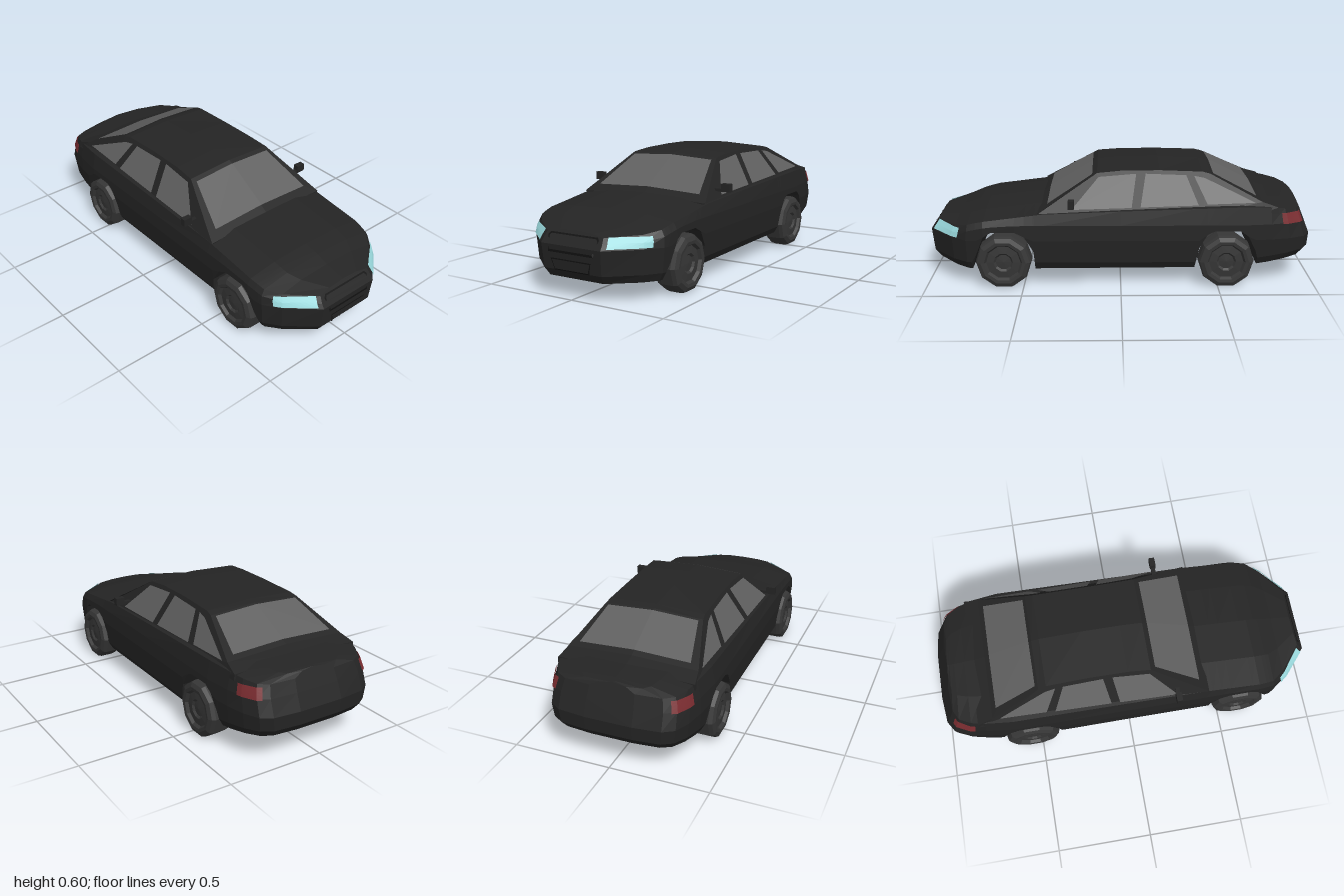
import * as THREE from 'three';

const mat = (color, side = THREE.FrontSide) => new THREE.MeshStandardMaterial({ color, flatShading: true, side });
const paint = mat(0x242424), trim = mat(0x121212, THREE.DoubleSide), tyreMat = mat(0x363636);
const glass = mat(0x606060, THREE.DoubleSide);
const headlamp = mat(0x9cdce0, THREE.DoubleSide), taillamp = mat(0x7a2c30, THREE.DoubleSide);

// Piecewise-linear lookup of column c in a table sorted on column 0 (either direction)
function lookup(table, t, c = 1) {
  const rows = table[0][0] < table.at(-1)[0] ? table : [...table].reverse();
  if (t <= rows[0][0]) return rows[0][c];
  for (let i = 1; i < rows.length; i++) {
    const [a, b] = [rows[i - 1], rows[i]];
    if (t <= b[0]) return a[c] + (b[c] - a[c]) * (t - a[0]) / (b[0] - a[0]);
  }
  return rows.at(-1)[c];
}

// Lower body: z, half width, shoulder height, centre height
const BODY = [
  [1, 0.17, 0.302, 0.316], [0.87, 0.315, 0.312, 0.338], [0.79, 0.372, 0.328, 0.358], [0.7, 0.385, 0.348, 0.378],
  [0.4, 0.385, 0.385, 0.412], [0, 0.385, 0.4, 0.42], [-0.62, 0.387, 0.42, 0.44], [-0.77, 0.37, 0.415, 0.438],
  [-0.87, 0.35, 0.405, 0.432], [-0.95, 0.315, 0.395, 0.426], [-0.985, 0.26, 0.39, 0.422], [-1, 0.12, 0.39, 0.42],
];
// Underside height with wheel arches: z, y
const UNDER = [
  [1, 0.09], [0.765, 0.09], [0.74, 0.17], [0.7, 0.27], [0.66, 0.295], [0.54, 0.295], [0.49, 0.27], [0.445, 0.19],
  [0.44, 0.09], [-0.38, 0.095], [-0.4, 0.21], [-0.44, 0.28], [-0.48, 0.3], [-0.61, 0.3], [-0.65, 0.27],
  [-0.69, 0.19], [-0.7, 0.11], [-0.95, 0.138], [-1, 0.14],
];
// Set-back of nose and tail by height
const NOSE = [[0.09, 0.04], [0.14, 0.005], [0.25, 0], [0.32, 0.05]];
const TAIL = [[0.12, 0.06], [0.17, 0.01], [0.24, 0], [0.36, 0.05], [0.43, 0.08]];
function warp(z, y) {
  const t = Math.max(0, (Math.abs(z) - 0.75) / 0.25);
  return z - Math.sign(z) * t * lookup(z > 0 ? NOSE : TAIL, y);
}

// Side profile at z as rows of y, x
function sideRows(z) {
  const w = lookup(BODY, z), edge = lookup(BODY, z, 2), sill = z > -0.7 ? 0.09 : lookup(UNDER, z);
  return [[sill, w * 0.91], [sill + 0.04, w * 0.97], [0.25, w], [Math.min(0.33, edge - 0.03), w * 0.99], [edge, w * 0.945]];
}
function bodySection(z) {
  const rows = sideRows(z), low = lookup(UNDER, z), edge = lookup(BODY, z, 2), top = lookup(BODY, z, 3);
  const pts = rows.map(([y]) => { const h = Math.max(y, low); return [lookup(rows, h), h]; });
  pts.push([lookup(BODY, z) * 0.55, top - (top - edge) * 0.25], [0, top]);
  return pts.map(([x, y]) => [x, y, warp(z, y)]);
}

// Cabin: z, roof edge height, roof centre height
const CABIN = [
  [0.42, 0.39, 0.405], [0.12, 0.573, 0.586], [0, 0.583, 0.597], [-0.2, 0.585, 0.6], [-0.42, 0.578, 0.59],
  [-0.46, 0.568, 0.582], [-0.72, 0.44, 0.454], [-0.8, 0.415, 0.43],
];
const cabinX = (y) => 0.348 - 0.6 * (y - 0.42);
function cabinTop(z, x) {
  const edge = lookup(CABIN, z), top = lookup(CABIN, z, 2);
  return top + (edge - top) * Math.abs(x) / cabinX(edge);
}

// Closed mirrored skin through half sections ordered front to back
function loft(sections) {
  const rings = sections.map((s) => [...s, ...s.map(([x, y, z]) => [-x, y, z]).reverse()]);
  const pos = [], quad = (a, b, c, d) => pos.push(...a, ...b, ...c, ...a, ...c, ...d);
  const n = rings[0].length;
  for (let i = 0; i < rings.length - 1; i++)
    for (let j = 0; j < n; j++) {
      const k = (j + 1) % n;
      quad(rings[i][j], rings[i + 1][j], rings[i + 1][k], rings[i][k]);
    }
  const [f, b] = [rings[0], rings.at(-1)];
  for (let j = 0; j < n / 2 - 1; j++) {
    quad(f[j], f[j + 1], f[n - 2 - j], f[n - 1 - j]);
    quad(b[n - 1 - j], b[n - 2 - j], b[j + 1], b[j]);
  }
  const g = new THREE.BufferGeometry();
  g.setAttribute('position', new THREE.Float32BufferAttribute(pos, 3));
  g.computeVertexNormals();
  return g;
}

// Bend a flat geometry with a rule (x, y) -> [x, y, z]
function bend(g, rule) {
  const p = g.attributes.position;
  for (let i = 0; i < p.count; i++) p.setXYZ(i, ...rule(p.getX(i), p.getY(i)));
  g.computeVertexNormals();
  return g;
}
const grid = (nu, nv, rule) => bend(new THREE.PlaneGeometry(1, 1, nu, nv), (x, y) => rule(x + 0.5, y + 0.5));
const polygon = (pts) => new THREE.Shape(pts.map(([x, y]) => new THREE.Vector2(x, y)));

export function createModel() {
  const car = new THREE.Group();
  car.name = 'car';
  const add = (name, geometry, material, parent = car) => {
    const m = new THREE.Mesh(geometry, material);
    m.name = name;
    parent.add(m);
    return m;
  };
  const lerp = THREE.MathUtils.lerp;

  // Body and cabin shells
  const zs = [...new Set([...BODY, ...UNDER].map((r) => r[0]))].sort((a, b) => b - a);
  add('body', loft(zs.map(bodySection)), paint);
  add('cabin', loft(CABIN.map(([z, edge, top]) => [[0.355, 0.385, z], [cabinX(edge), edge, z], [0, top, z]])), paint);

  // Windscreen and rear window
  const screen = (z0, x0, z1, x1) => grid(2, 1, (u, v) => {
    const z = lerp(z0, z1, v), x = (u * 2 - 1) * lerp(x0, x1, v);
    return [x, cabinTop(z, x) + 0.005, z];
  });
  add('windscreen', screen(0.375, 0.305, 0.145, 0.24), glass);
  add('rearWindow', screen(-0.695, 0.288, -0.475, 0.24), glass);

  // Grille and lower intake outlines on the nose
  const outline = (name, pts, border) => {
    const cy = pts.reduce((s, p) => s + p[1], 0) / pts.length;
    const h = Math.max(...pts.map((p) => p[1])) - cy, w = Math.max(...pts.map((p) => p[0]));
    const s = polygon(pts);
    s.holes.push(polygon(pts.map(([x, y]) => [x * (1 - border / w), cy + (y - cy) * (1 - border / h)])));
    add(name, bend(new THREE.ShapeGeometry(s), (x, y) => [x, y, warp(1, y) + 0.004]), trim);
  };
  outline('grilleFrame', [[-0.13, 0.215], [0.13, 0.215], [0.145, 0.29], [0.135, 0.302], [-0.135, 0.302], [-0.145, 0.29]], 0.007);
  outline('lowerIntakeFrame', [[-0.1, 0.13], [0.1, 0.13], [0.115, 0.187], [-0.115, 0.187]], 0.006);

  // Lamps follow the body side between two z positions
  const lamp = (side, z0, z1, y0, y1) => grid(8, 4, (u, v) => {
    const z = lerp(z0, z1, u), y = lerp(y0, y1, v);
    return [side * (lookup(sideRows(z), y) + 0.005), y, warp(z, y) + Math.sign(z) * 0.005];
  });

  // Side window outlines: z, y
  const windows = {
    frontWindow: [[0.25, 0.408], [0.112, 0.556], [-0.08, 0.57], [-0.055, 0.416]],
    rearDoorWindow: [[-0.1, 0.418], [-0.128, 0.57], [-0.335, 0.563], [-0.395, 0.426]],
    quarterWindow: [[-0.44, 0.43], [-0.375, 0.56], [-0.43, 0.55], [-0.6, 0.475], [-0.685, 0.437]],
  };

  // Tyre with a dished wheel face and hub: radius, offset along the axle
  const wheelProfile = [
    [0, -0.055], [0.115, -0.065], [0.138, -0.052], [0.143, -0.03], [0.143, 0.035], [0.136, 0.055], [0.115, 0.065],
    [0.098, 0.063], [0.088, 0.048], [0.05, 0.052], [0.04, 0.042], [0, 0.046],
  ].map(([r, y]) => new THREE.Vector2(r, y));

  for (const [label, s] of [['left', 1], ['right', -1]]) {
    add(`${label}Headlight`, lamp(s, 0.985, 0.835, 0.257, 0.306), headlamp);
    add(`${label}Taillight`, lamp(s, -0.965, -0.835, 0.328, 0.383), taillamp);
    for (const [name, pts] of Object.entries(windows))
      add(`${label} ${name}`, bend(new THREE.ShapeGeometry(polygon(pts)), (z, y) => [s * (cabinX(y) + 0.004), y, z]), glass);

    // Door mirror on a short arm
    const mirror = new THREE.Group();
    mirror.name = `${label}Mirror`;
    add('mirrorArm', new THREE.BoxGeometry(0.06, 0.014, 0.022), paint, mirror).position.set(s * 0.35, 0.433, 0.25);
    add('mirrorHousing', new THREE.BoxGeometry(0.048, 0.04, 0.03), paint, mirror).position.set(s * 0.39, 0.446, 0.25);
    car.add(mirror);

    for (const [end, z] of [['Front', 0.6], ['Rear', -0.54]]) {
      const wheel = add(`${label}${end}Wheel`, new THREE.LatheGeometry(wheelProfile, 10), tyreMat);
      wheel.rotation.z = -s * Math.PI / 2;
      wheel.position.set(s * 0.335, 0.136, z);
    }
  }
  return car;
}
